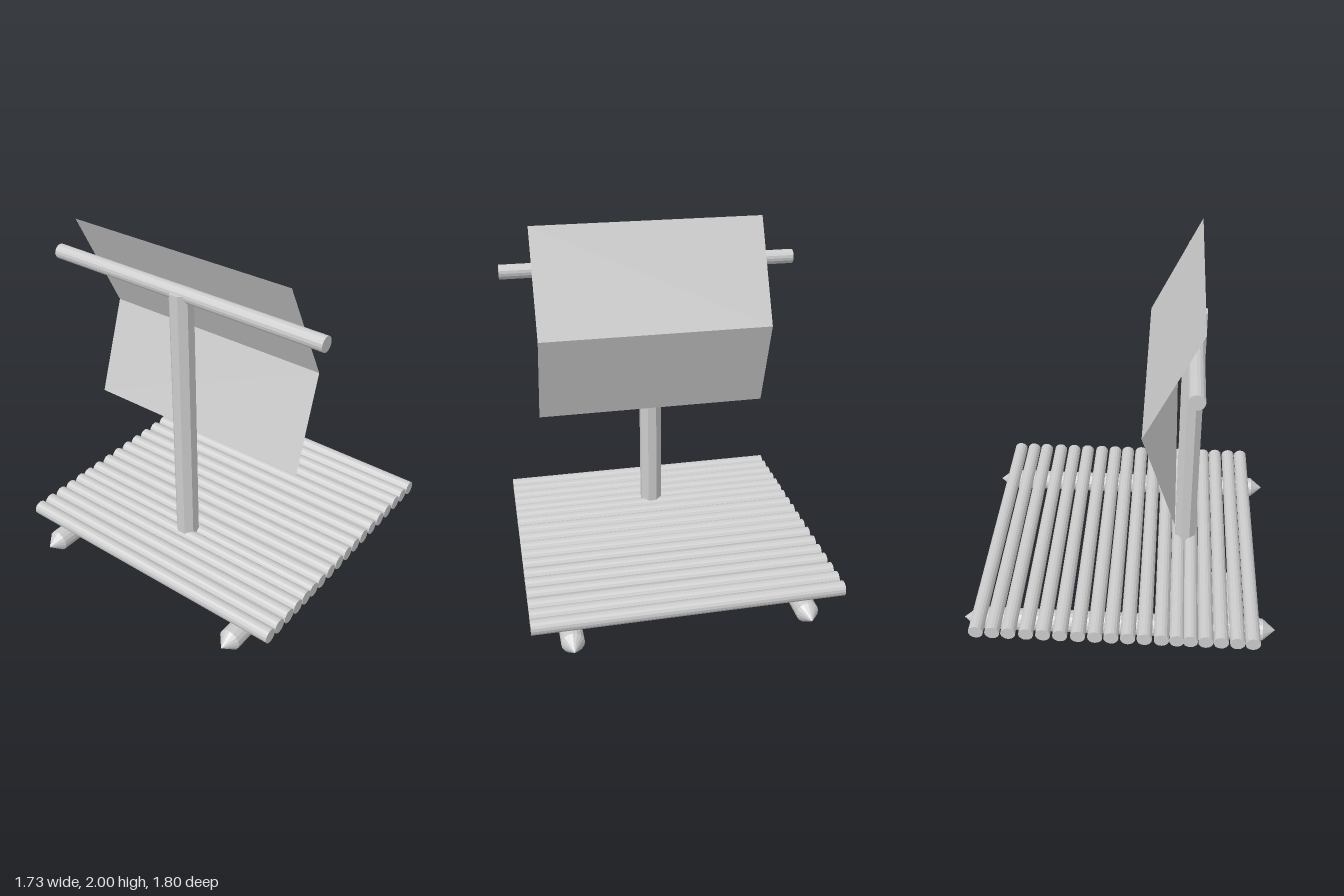
import * as THREE from 'three';

const wood = new THREE.MeshStandardMaterial({ color: 0xcccccc, flatShading: true });
const sheet = new THREE.MeshStandardMaterial({ color: 0xcccccc, flatShading: true, side: THREE.DoubleSide });

function add(parent, name, geometry, material, x, y, z) {
  const mesh = new THREE.Mesh(geometry, material);
  mesh.name = name;
  mesh.position.set(x, y, z);
  parent.add(mesh);
  return mesh;
}

export function createModel() {
  const raft = new THREE.Group();
  raft.name = 'raft';

  // Deck of slightly unevenly spaced round logs
  const deck = new THREE.Group();
  deck.name = 'deck';
  raft.add(deck);
  const log = new THREE.CylinderGeometry(0.042, 0.042, 1.73, 16).rotateZ(Math.PI / 2);
  const rows = [0.755, 0.67, 0.58, 0.495, 0.41, 0.335, 0.25, 0.155, 0.063,
    -0.03, -0.12, -0.215, -0.315, -0.41, -0.505, -0.605, -0.695, -0.787];
  for (const z of rows) add(deck, 'deckLog', log, wood, 0, 0.175, z);

  // Two floats with pointed ends
  const profile = [[0, -0.9], [0.063, -0.82], [0.063, 0.825], [0, 0.9]].map(([r, y]) => new THREE.Vector2(r, y));
  const float = new THREE.LatheGeometry(profile, 16).rotateX(Math.PI / 2);
  add(raft, 'leftFloat', float, wood, 0.65, 0.065, 0);
  add(raft, 'rightFloat', float, wood, -0.65, 0.065, 0);

  // Octagonal mast and the yard across its top
  const mast = new THREE.CylinderGeometry(0.0676, 0.0676, 1.585, 8).rotateY(Math.PI / 8);
  add(raft, 'mast', mast, wood, 0, 0.9725, 0.375);
  add(raft, 'yard', log, wood, 0, 1.755, 0.375);

  // Folded sail: a strip of cross-sections [half width, y, z]
  const folds = [[0.685, 2.0, 0.41], [0.685, 1.41, 0.12], [0.69, 0.87, 0.3]];
  const points = [];
  for (const [w, y, z] of folds) points.push(-w, y, z, w, y, z);
  const sail = new THREE.BufferGeometry();
  sail.setAttribute('position', new THREE.Float32BufferAttribute(points, 3));
  const index = [];
  for (let i = 0; i < 4; i += 2) index.push(i, i + 2, i + 1, i + 1, i + 2, i + 3);
  sail.setIndex(index);
  sail.computeVertexNormals();
  add(raft, 'sail', sail, sheet, 0, 0, 0);

  // Flat panel slung under the deck beside the right float
  const panel = new THREE.PlaneGeometry(0.43, 0.43).rotateX(-Math.PI / 2);
  add(raft, 'underPanel', panel, sheet, -0.395, 0.048, 0.48);

  return raft;
}
